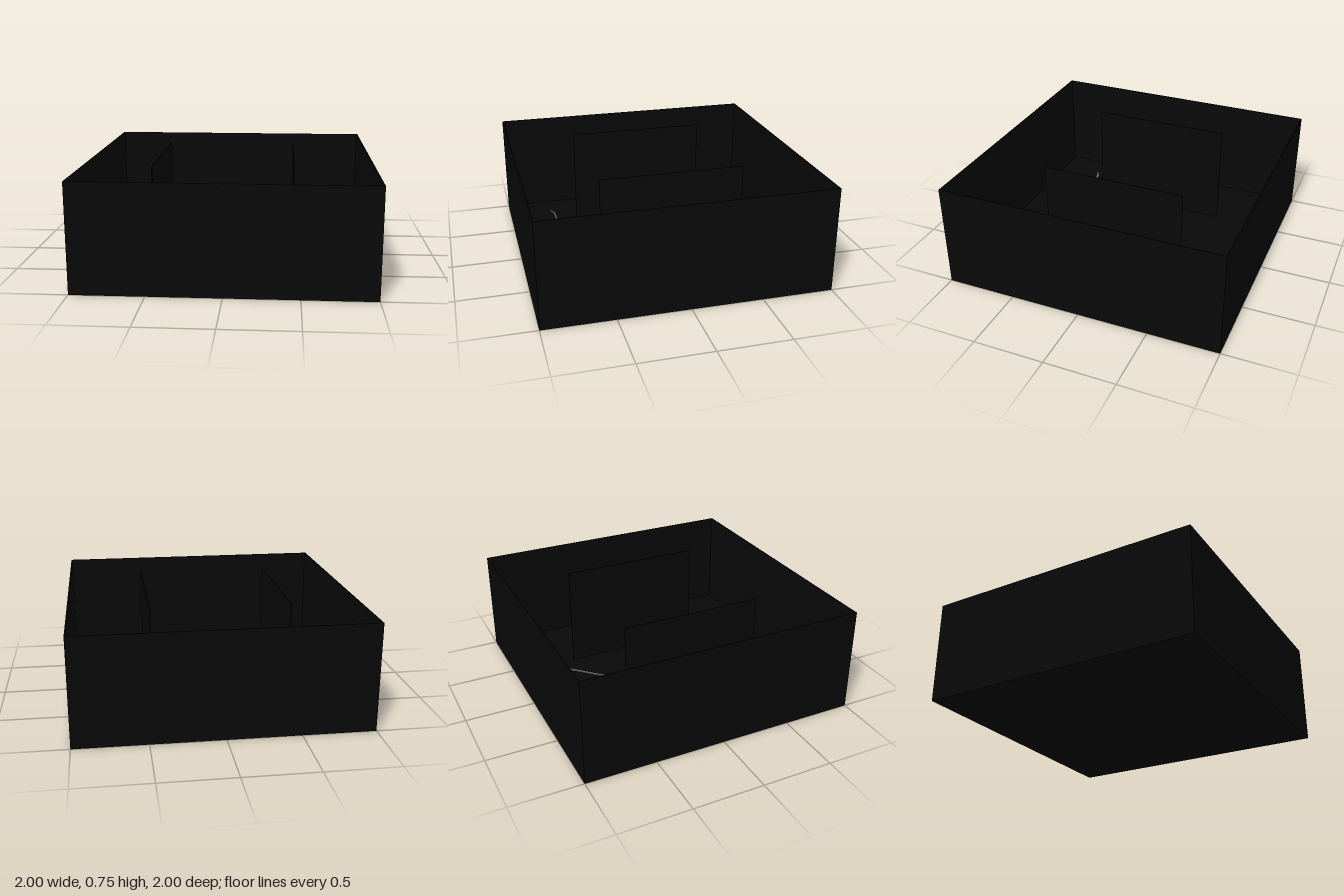
import * as THREE from 'three';

const HEIGHT = 0.75;
const THICK = 0.008;

export function createModel() {
  const black = new THREE.MeshStandardMaterial({ color: 0x090909 });
  black.name = 'black';
  const grey = new THREE.MeshStandardMaterial({ color: 0x8c8c8c });
  grey.name = 'grey';

  const model = new THREE.Group();
  model.name = 'room';

  const addBox = (parent, name, size, position, material) => {
    const mesh = new THREE.Mesh(new THREE.BoxGeometry(...size), material);
    mesh.name = name;
    mesh.position.set(...position);
    parent.add(mesh);
    return mesh;
  };

  // Floor slab
  addBox(model, 'floor', [2, THICK, 2], [0, THICK / 2, 0], black);

  // Four thin outer walls
  const wallY = (HEIGHT + THICK) / 2;
  const wallHeight = HEIGHT - THICK;
  const edge = 1 - THICK / 2;
  for (const [side, s] of [['front', 1], ['back', -1]]) {
    addBox(model, side + 'Wall', [2, wallHeight, THICK], [0, wallY, s * edge], black);
  }
  for (const [side, s] of [['left', 1], ['right', -1]]) {
    addBox(model, side + 'Wall', [THICK, wallHeight, 2 - 2 * THICK], [s * edge, wallY, 0], black);
  }

  // Two full-height partitions standing inside
  addBox(model, 'rightPartition', [THICK, wallHeight, 1], [-0.52, wallY, 0], black);
  addBox(model, 'leftPartition', [THICK, wallHeight, 1.02], [0.45, wallY, -0.02], black);

  // Narrow route winding between the partitions on the floor
  const route = new THREE.Group();
  route.name = 'floorRoute';
  const points = [
    [0.69, -0.66], [0.36, -0.655], [-0.36, 0.065], [-0.36, 0.575],
    [-0.435, 0.65], [-0.735, 0.65], [-0.79, 0.675],
  ];
  const width = 0.012;
  for (let i = 0; i < points.length - 1; i++) {
    const [x0, z0] = points[i];
    const [x1, z1] = points[i + 1];
    const length = Math.hypot(x1 - x0, z1 - z0) + width * 0.4;
    const strip = addBox(route, 'routeStrip', [length, 0.006, width],
      [(x0 + x1) / 2, THICK + 0.003, (z0 + z1) / 2], grey);
    strip.rotation.y = -Math.atan2(z1 - z0, x1 - x0);
  }
  model.add(route);

  return model;
}
